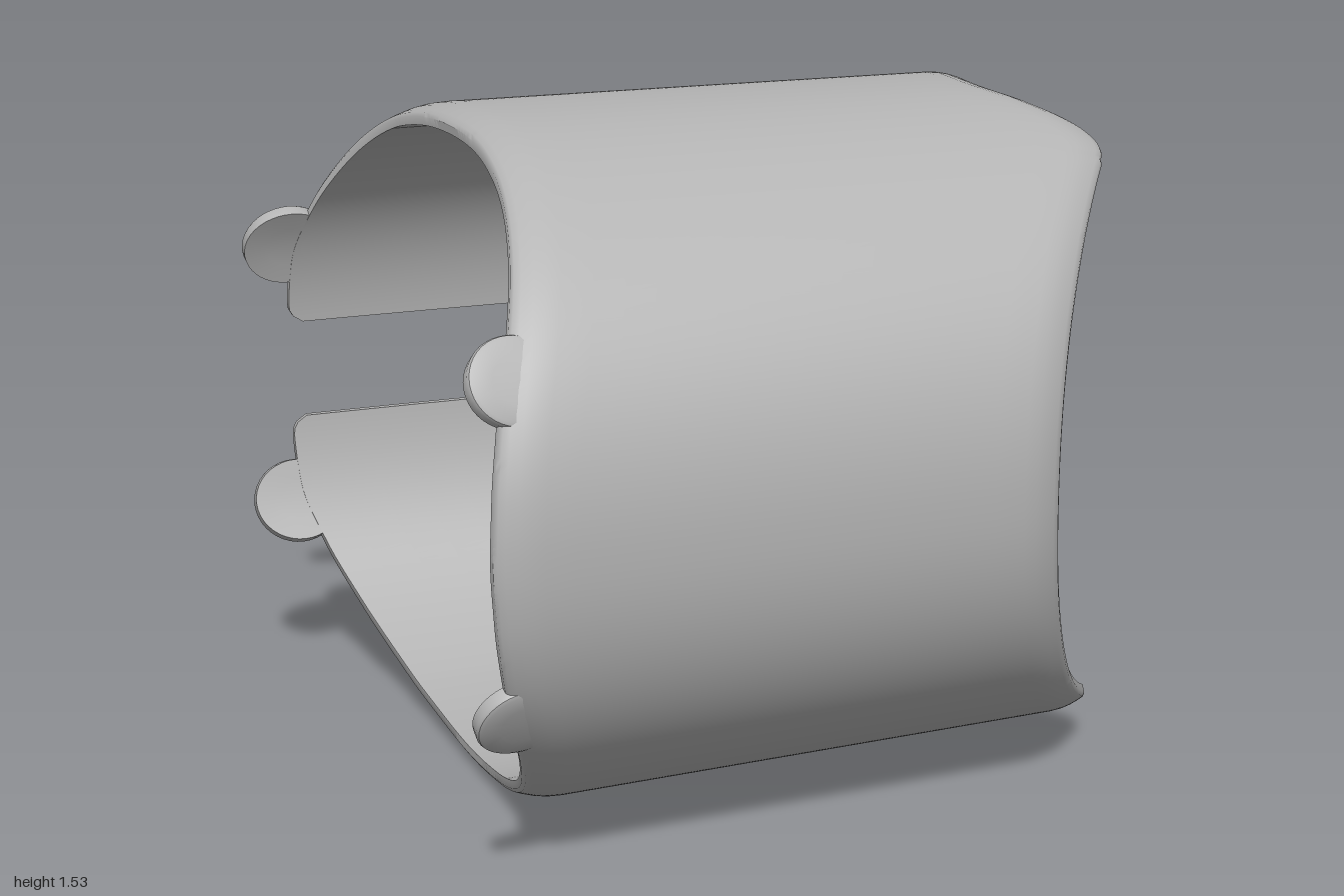
import * as THREE from 'three';
import { toCreasedNormals } from 'three/addons/utils/BufferGeometryUtils.js';

const MID = 0.77, THICK = 0.049;
const END = Math.PI - 0.164; // angle where the shell stops at the rear slot

// Left-hand rim as [height from the middle, x], for the front and rear halves
const UPPER = [[0.45, -0.84], [0.6, -0.782], [0.73, -0.73], [0.77, -0.718]];
const FRONT_RIM = [[0, -0.926], [0.13, -0.918], [0.28, -0.893], ...UPPER];
const REAR_RIM = [[0.126, -0.85], [0.14, -0.872], [0.17, -0.885], [0.3, -0.88], ...UPPER];
// Right-hand rim behind the slanted cut as [angle from the front, x]
const CUT_END = 1;
const SIDE_RIM = [[CUT_END, 0.654], [1.05, 0.677], [1.1, 0.685], [1.16, 0.68], [1.21, 0.67], [1.35, 0.635],
  [1.515, 0.61], [1.69, 0.63], [1.916, 0.7], [2.1, 0.8], [2.25, 0.925], [2.31, 0.975], [2.38, 1],
  [2.9, 1], [2.95, 0.987], [END, 0.95]];

// Smooth interpolation through knots without overshoot
function follow(knots, t) {
  const n = knots.length;
  const slope = i => (knots[i + 1][1] - knots[i][1]) / (knots[i + 1][0] - knots[i][0]);
  const tangent = i => {
    if (i === 0 || i === n - 1) return 0;
    const a = slope(i - 1), b = slope(i);
    return a * b <= 0 ? 0 : 2 * a * b / (a + b);
  };
  let i = 0;
  while (i < n - 2 && t > knots[i + 1][0]) i++;
  const h = knots[i + 1][0] - knots[i][0];
  const u = THREE.MathUtils.clamp((t - knots[i][0]) / h, 0, 1), v = 1 - u;
  return knots[i][1] * (1 + 2 * u) * v * v + knots[i + 1][1] * u * u * (3 - 2 * u)
    + h * u * v * (tangent(i) * v - tangent(i + 1) * u);
}

// Rounded oval section; the rear half tapers and grows squarer towards +x
function section(x, t) {
  const c = Math.cos(t), s = Math.sin(t);
  const back = c < 0;
  const depth = back ? 0.874 - 0.062 * x - 0.03 * x * x : 0.89 - 0.006 * x;
  const n = 2.18 + (back ? Math.min(1, -2.5 * c) * (0.32 + 0.12 * x) : 0);
  const r = Math.pow(Math.abs(c) ** n + Math.abs(s) ** n, 1 / n);
  return [(0.765 - 0.004 * x) * s / r, depth * c / r];
}

const leftRim = t => follow(Math.cos(t) > 0 ? FRONT_RIM : REAR_RIM, Math.abs(section(-0.8, t)[0]));
const rightRim = t => Math.abs(t) < CUT_END
  ? 0.352 + 0.77 * (0.885 - section(0.5, t)[1])
  : follow(SIDE_RIM, Math.abs(t));

// Point on the wall, a given depth below the outer skin
function wall(x, t, depth) {
  const [y, z] = section(x, t), a = section(x, t - 0.01), b = section(x, t + 0.01);
  const dy = b[0] - a[0], dz = b[1] - a[1], len = Math.hypot(dy, dz);
  return [x, MID + y + dz / len * depth, z - dy / len * depth];
}

// Skin a list of equal loops, optionally closing them and capping the ends
function skin(loops, solid) {
  const m = loops[0].length, index = [];
  const quad = (a, b, c, d) => index.push(a, b, c, a, c, d);
  for (let j = 0; j < loops.length - 1; j++) {
    for (let i = 0; i < (solid ? m : m - 1); i++) {
      const k = (i + 1) % m;
      quad(j * m + i, j * m + k, (j + 1) * m + k, (j + 1) * m + i);
    }
  }
  if (solid) {
    const e = (loops.length - 1) * m;
    for (let k = 0; k < m / 2 - 1; k++) {
      quad(m - 1 - k, m - 2 - k, k + 1, k);
      quad(e + k, e + k + 1, e + m - 2 - k, e + m - 1 - k);
    }
  }
  const g = new THREE.BufferGeometry();
  g.setAttribute('position', new THREE.Float32BufferAttribute(loops.flat(2), 3));
  g.setIndex(index);
  return toCreasedNormals(g, 0.6);
}

// The outer skin eases inwards near every edge
const ease = d => d < 0.1 ? 0.024 * (1 - d / 0.1) ** 2 + (d < 0.004 ? 0.006 : 0) : 0;

function shellGeometry() {
  const steps = 280, across = 16, loops = [];
  const margin = [0, 0.006, 0.02, 0.045, 0.07];
  for (let j = 0; j <= steps; j++) {
    const t = END * (2 * j / steps - 1);
    const l = leftRim(t), r = rightRim(t);
    const slotEase = 0.7 * ease((END - Math.abs(t)) * 0.85);
    const xs = margin.map(d => l + d);
    for (let i = 0; i <= across; i++) xs.push(l + 0.1 + (r - l - 0.2) * i / across);
    xs.push(...margin.map(d => r - d).reverse());
    const outer = xs.map(x => wall(x, t, Math.max(slotEase, ease(Math.min(x - l, r - x)))));
    const inner = xs.map(x => wall(x, t, THICK)).reverse();
    loops.push([...outer, ...inner]);
  }
  return skin(loops, true);
}

// Round tab that follows the curve of the wall
function tabGeometry(cx, t0, radius) {
  const a = section(cx, t0 - 0.01), b = section(cx, t0 + 0.01);
  const rate = Math.hypot(b[0] - a[0], b[1] - a[1]) / 0.02;
  const top = 0.012, base = THICK - 0.001;
  const profile = [[0, top], [0.5 * radius, top], [radius - 0.012, top], [radius - 0.004, top + 0.003],
    [radius, top + 0.01], [radius, base], [0.5 * radius, base], [0, base]];
  const loops = [];
  for (let j = 0; j <= 40; j++) {
    const q = j / 40 * Math.PI * 2;
    loops.push(profile.map(([r, d]) => wall(cx + r * Math.cos(q), t0 + r * Math.sin(q) / rate, d)));
  }
  return skin(loops, false);
}

export function createModel() {
  const group = new THREE.Group();
  group.name = 'openCuff';
  const grey = new THREE.MeshStandardMaterial({ color: 0xb4b4b4 });
  grey.name = 'lightGrey';
  const add = (name, geometry) => {
    const mesh = new THREE.Mesh(geometry, grey);
    mesh.name = name;
    group.add(mesh);
  };

  // Curved wall with the rear slot
  add('shell', shellGeometry());

  // Two front and two rear tabs on the right-hand rim
  for (const [label, side] of [['Upper', 1], ['Lower', -1]]) {
    add('frontTab' + label, tabGeometry(-0.845, side * 0.49, 0.1));
    add('rearTab' + label, tabGeometry(-0.89, side * (Math.PI - 0.445), 0.11));
  }
  return group;
}
